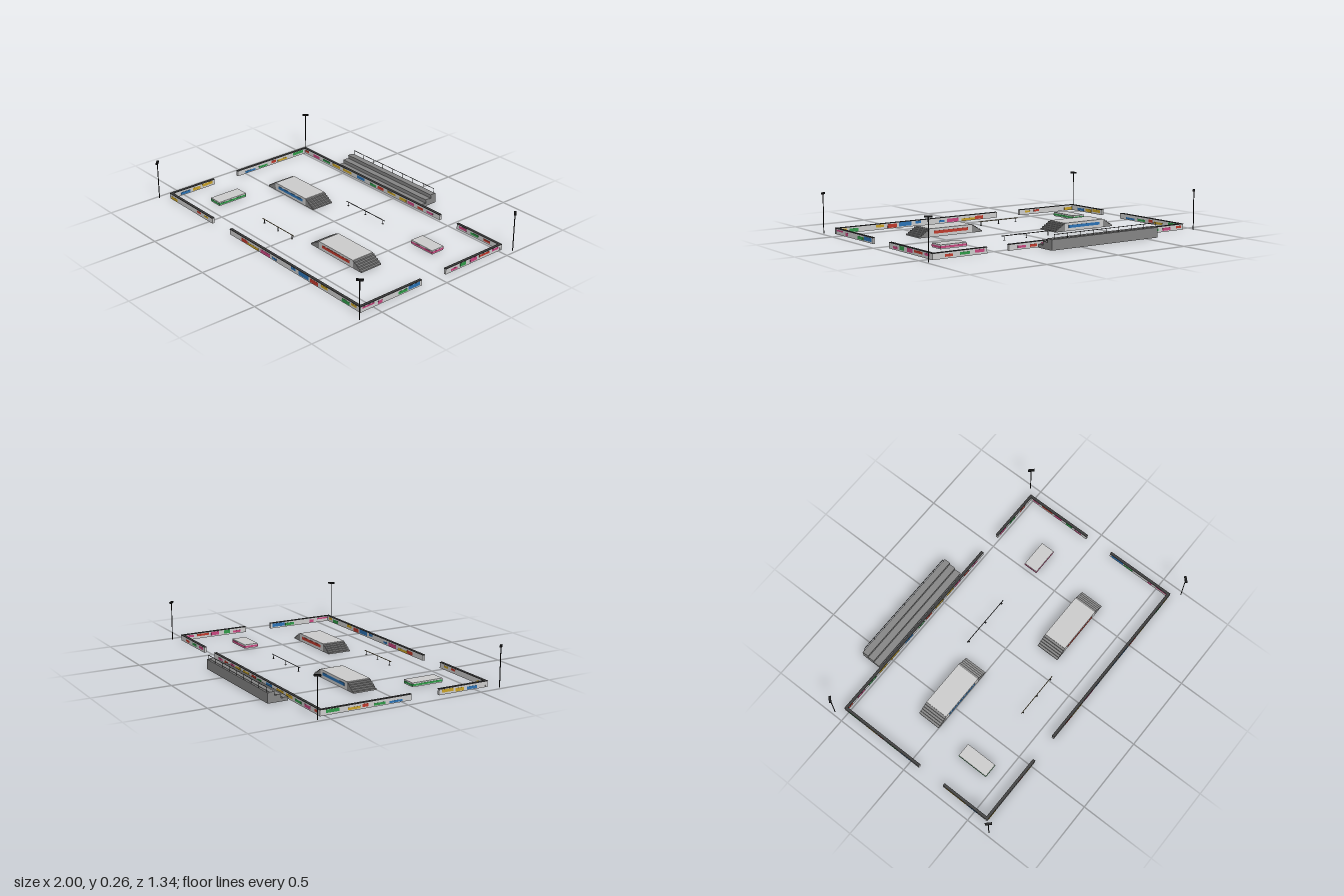
import * as THREE from 'three';

const mat = (color) => new THREE.MeshStandardMaterial({ color, flatShading: true });
const grey = mat(0xcccccc), steel = mat(0x858585), dark = mat(0x3a3a3a), black = mat(0x151515), brass = mat(0x8a7a50);
const paint = {
  y: mat(0xc9a227), r: mat(0xc0392b), b: mat(0x2a72b5), m: mat(0xc8457f), g: mat(0x2f9a48),
};

// Box given by its minimum and maximum corners
function box(parent, name, material, [x0, y0, z0], [x1, y1, z1]) {
  const mesh = new THREE.Mesh(new THREE.BoxGeometry(x1 - x0, y1 - y0, z1 - z0), material);
  mesh.position.set((x0 + x1) / 2, (y0 + y1) / 2, (z0 + z1) / 2);
  mesh.name = name;
  parent.add(mesh);
  return mesh;
}

function group(parent, name) {
  const g = new THREE.Group();
  g.name = name;
  parent.add(g);
  return g;
}

// Upright or sideways round bar
function bar(parent, name, material, radius, length, x, y, z, alongX = false) {
  const mesh = new THREE.Mesh(new THREE.CylinderGeometry(radius, radius, length, 8), material);
  if (alongX) mesh.rotation.z = Math.PI / 2;
  mesh.position.set(x, y, z);
  mesh.name = name;
  parent.add(mesh);
}

let seed = 7;
const rand = () => (seed = (seed * 16807) % 2147483647) / 2147483647;

// Painted patches [colour, start, end, bottom, top] strewn along a stretch of wall
function scatter(a, b) {
  const list = [];
  const keys = Object.keys(paint);
  for (let p = a + 0.02; p < b - 0.06;) {
    const w = 0.04 + rand() * 0.05, y = 0.004 + rand() * 0.01;
    list.push([keys[Math.floor(rand() * 5)], p, Math.min(p + w, b - 0.01), y, y + 0.012 + rand() * 0.008]);
    p += w + 0.01 + rand() * 0.05;
  }
  return list;
}

// Low boundary wall with a dark coping and patches showing on both faces
function wall(parent, name, alongX, at, a, b, patches = scatter(a, b)) {
  const g = group(parent, name);
  const slab = (part, m, s, e, y0, y1, half) => (alongX
    ? box(g, part, m, [s, y0, at - half], [e, y1, at + half])
    : box(g, part, m, [at - half, y0, s], [at + half, y1, e]));
  slab('wallBody', grey, a, b, 0, 0.034, 0.0075);
  slab('wallCoping', dark, a, b, 0.034, 0.038, 0.009);
  for (const [c, s, e, y0, y1] of patches) slab('paintPatch', paint[c], s, e, y0, y1, 0.0085);
}

// Raised box with a flight of steps at each end and a painted stripe on both sides
function stepBox(parent, name, x, z, stripe) {
  const g = group(parent, name);
  g.position.set(x, 0, z);
  const halfTop = 0.155, halfDepth = 0.0775, h = 0.052, steps = 5, tread = 0.015;
  box(g, 'platform', grey, [-halfTop, 0, -halfDepth], [halfTop, h, halfDepth]);
  box(g, 'sideStripe', stripe, [-0.125, 0.019, -halfDepth - 0.0015], [0.125, 0.037, halfDepth + 0.0015]);
  for (const side of [-1, 1]) {
    for (let i = 0; i < steps; i++) {
      const a = side * (halfTop + i * tread), b = side * (halfTop + (i + 1) * tread);
      box(g, 'step', steel, [Math.min(a, b), 0, -halfDepth],
        [Math.max(a, b), h * (steps - i) / (steps + 0.5), halfDepth]);
    }
  }
}

// Low pad with a painted band round its sides
function pad(parent, name, color, x0, x1, z0, z1) {
  const g = group(parent, name);
  box(g, 'padBody', grey, [x0, 0, z0], [x1, 0.026, z1]);
  box(g, 'padBand', color, [x0 - 0.001, 0.006, z0 - 0.001], [x1 + 0.001, 0.018, z1 + 0.001]);
}

// Straight rail on three legs
function grindRail(parent, name, material, x0, x1, z) {
  const g = group(parent, name);
  const mid = (x0 + x1) / 2;
  bar(g, 'railBar', material, 0.0025, x1 - x0, mid, 0.027, z, true);
  for (const x of [x0 + 0.018, mid, x1 - 0.018]) {
    bar(g, 'railLeg', dark, 0.002, 0.027, x, 0.0135, z);
    box(g, 'railFoot', dark, [x - 0.005, 0, z - 0.005], [x + 0.005, 0.002, z + 0.005]);
  }
}

export function createModel() {
  const model = new THREE.Group();
  model.name = 'skatePark';

  // Boundary walls, with openings on every side
  wall(model, 'frontWallRight', true, 0.589, -0.933, -0.465, [
    ['y', -0.917, -0.848, 0.003, 0.022], ['r', -0.628, -0.585, 0.016, 0.029], ['y', -0.553, -0.51, 0.015, 0.027]]);
  wall(model, 'frontWallLeft', true, 0.589, -0.28, 0.93, [
    ['r', -0.163, -0.1, 0.005, 0.026], ['y', -0.1, 0.005, 0.003, 0.018], ['m', 0.03, 0.12, 0.003, 0.026],
    ['b', 0.14, 0.18, 0.008, 0.021], ['b', 0.318, 0.36, 0.016, 0.032], ['b', 0.388, 0.48, 0.008, 0.034],
    ['r', 0.495, 0.564, 0.005, 0.029], ['y', 0.59, 0.65, 0.015, 0.032], ['g', 0.773, 0.837, 0.005, 0.026],
    ['y', 0.853, 0.896, 0.015, 0.03]]);
  wall(model, 'backWallRight', true, -0.521, -0.933, 0.415);
  wall(model, 'backWallLeft', true, -0.521, 0.565, 0.93);
  wall(model, 'leftWallFront', false, 0.921, 0.13, 0.58, [
    ['m', 0.494, 0.58, 0.02, 0.03], ['m', 0.433, 0.465, 0.006, 0.025],
    ['g', 0.243, 0.311, 0.007, 0.025], ['b', 0.145, 0.236, 0.009, 0.032]]);
  wall(model, 'leftWallBack', false, 0.921, -0.512, -0.06, [
    ['m', -0.156, -0.102, 0.007, 0.021], ['g', -0.225, -0.178, 0.009, 0.032], ['m', -0.318, -0.261, 0.009, 0.032],
    ['r', -0.423, -0.336, 0.016, 0.03], ['m', -0.498, -0.444, 0.016, 0.03]]);
  wall(model, 'rightWallFront', false, -0.925, 0.255, 0.58);
  wall(model, 'rightWallBack', false, -0.925, -0.512, 0.065);

  // Obstacles
  stepBox(model, 'backStepBox', -0.435, -0.0775, paint.b);
  stepBox(model, 'frontStepBox', 0.37, 0.2225, paint.r);
  pad(model, 'backPad', paint.m, 0.525, 0.705, -0.26, -0.167);
  pad(model, 'frontPad', paint.g, -0.725, -0.635, 0.21, 0.42);
  grindRail(model, 'backRail', dark, -0.125, 0.24, -0.21);
  grindRail(model, 'frontRail', brass, -0.28, 0.03, 0.345);

  // Bleachers: three tiers with seat boards and a guard rail
  const stand = group(model, 'bleachers');
  for (let i = 0; i < 3; i++) {
    const front = -0.543 - i * 0.0425, top = 0.022 * (i + 1);
    box(stand, 'tier', steel, [-0.59, 0, front - 0.0425], [0.215, top - 0.003, front]);
    box(stand, 'seatBoard', steel, [-0.59, top - 0.003, front - 0.03], [0.215, top, front + 0.002]);
  }
  for (let i = 0; i < 9; i++) bar(stand, 'guardPost', dark, 0.0015, 0.031, -0.575 + i * 0.0965, 0.0775, -0.668);
  bar(stand, 'guardRail', dark, 0.002, 0.775, -0.189, 0.092, -0.668, true);

  // Floodlights at the corners, each head turned to the middle
  for (const sx of [-1, 1]) {
    for (const sz of [-1, 1]) {
      const light = group(model, 'floodlight');
      light.position.set(sx * 0.98, 0, sz > 0 ? 0.648 : -0.57);
      light.rotation.y = sx * sz * Math.PI / 4;
      bar(light, 'pole', black, 0.003, 0.248, 0, 0.124, 0);
      box(light, 'lampHead', black, [-0.021, 0.246, -0.007], [0.021, 0.256, 0.007]);
    }
  }
  return model;
}
